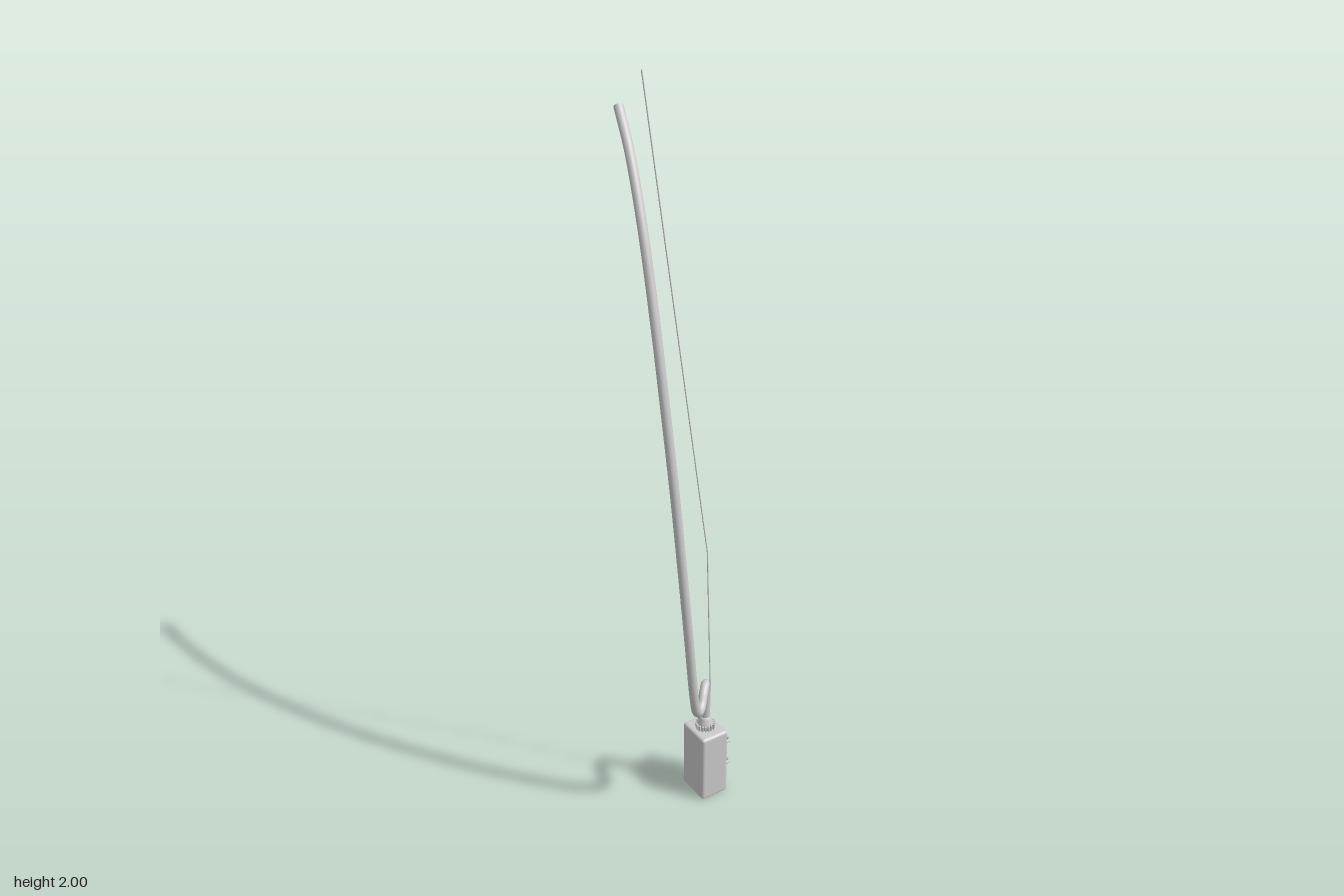
import * as THREE from 'three';
import { RoundedBoxGeometry } from 'three/addons/geometries/RoundedBoxGeometry.js';

const CX = 0.067, CZ = 0.07; // axis of the box and cable gland

export function createModel() {
  const model = new THREE.Group();
  const grey = new THREE.MeshStandardMaterial({ color: 0xcccccc, side: THREE.DoubleSide });
  const add = (name, geometry, parent = model) => {
    const mesh = new THREE.Mesh(geometry, grey);
    mesh.name = name;
    parent.add(mesh);
    return mesh;
  };
  const vec = (p) => new THREE.Vector3(...p);

  // Junction box
  add('box', new RoundedBoxGeometry(0.08, 0.2, 0.095, 4, 0.008)).position.set(CX, 0.1, CZ);

  // Two rounded loop handles on the side
  const loop = new THREE.CurvePath();
  const x0 = 0.1, x1 = 0.129, z0 = CZ - 0.027, z1 = CZ + 0.027, r = 0.011;
  const v = (x, z) => new THREE.Vector3(x, 0, z);
  loop.add(new THREE.LineCurve3(v(x0, z0), v(x1 - r, z0)));
  loop.add(new THREE.QuadraticBezierCurve3(v(x1 - r, z0), v(x1, z0), v(x1, z0 + r)));
  loop.add(new THREE.LineCurve3(v(x1, z0 + r), v(x1, z1 - r)));
  loop.add(new THREE.QuadraticBezierCurve3(v(x1, z1 - r), v(x1, z1), v(x1 - r, z1)));
  loop.add(new THREE.LineCurve3(v(x1 - r, z1), v(x0, z1)));
  for (const [name, y] of [['upperHandle', 0.146], ['lowerHandle', 0.075]]) {
    add(name, new THREE.TubeGeometry(loop, 48, 0.004, 10)).position.y = y;
  }

  // Tapered cable gland with a ring of grip ribs
  const gland = new THREE.Group();
  gland.name = 'cableGland';
  gland.position.set(CX, 0.199, CZ - 0.002);
  model.add(gland);
  const profile = [[0, 0], [0.021, 0], [0.021, 0.015], [0.019, 0.022], [0.0155, 0.03], [0.0145, 0.037], [0.01, 0.037]];
  add('glandBody', new THREE.LatheGeometry(profile.map((p) => new THREE.Vector2(...p)), 32), gland);
  const ribs = 18;
  for (let i = 0; i < ribs; i++) {
    const a = (i / ribs) * Math.PI * 2;
    const rib = add('gripRib', new THREE.BoxGeometry(0.008, 0.016, 0.004), gland);
    rib.position.set(Math.cos(a) * 0.022, 0.008, Math.sin(a) * 0.022);
    rib.rotation.y = -a;
  }

  // Thick cable: out of the gland, over a hump, through a dip, then up in a long arc
  const path = new THREE.CatmullRomCurve3([
    [CX, 0.21, 0.068], [0.067, 0.26, 0.07], [0.065, 0.31, 0.074], [0.06, 0.35, 0.081],
    [0.049, 0.361, 0.092], [0.033, 0.35, 0.108], [0.017, 0.33, 0.124], [0, 0.324, 0.139],
    [-0.018, 0.342, 0.152], [-0.033, 0.4, 0.163], [-0.055, 0.6, 0.169], [-0.07, 0.8, 0.162],
    [-0.08, 1.0, 0.145], [-0.085, 1.2, 0.115], [-0.082, 1.4, 0.069], [-0.068, 1.6, -0.003],
    [-0.044, 1.75, -0.094], [-0.024, 1.83, -0.171],
  ].map(vec), false, 'centripetal');
  const cableRadius = 0.0115;
  add('cable', new THREE.TubeGeometry(path, 220, cableRadius, 16));
  const cap = add('cableEnd', new THREE.CircleGeometry(cableRadius, 16));
  cap.position.copy(path.getPoint(1));
  cap.lookAt(cap.position.clone().add(path.getTangent(1)));

  // Thin hanging line tied to the hump of the cable
  const line = new THREE.CurvePath();
  const knots = [[0.062, 0.355, 0.096], [0.046, 0.77, 0.098], [-0.132, 2, 0.099]].map(vec);
  line.add(new THREE.LineCurve3(knots[0], knots[1]));
  line.add(new THREE.LineCurve3(knots[1], knots[2]));
  add('hangingLine', new THREE.TubeGeometry(line, 40, 0.0015, 8));

  return model;
}
